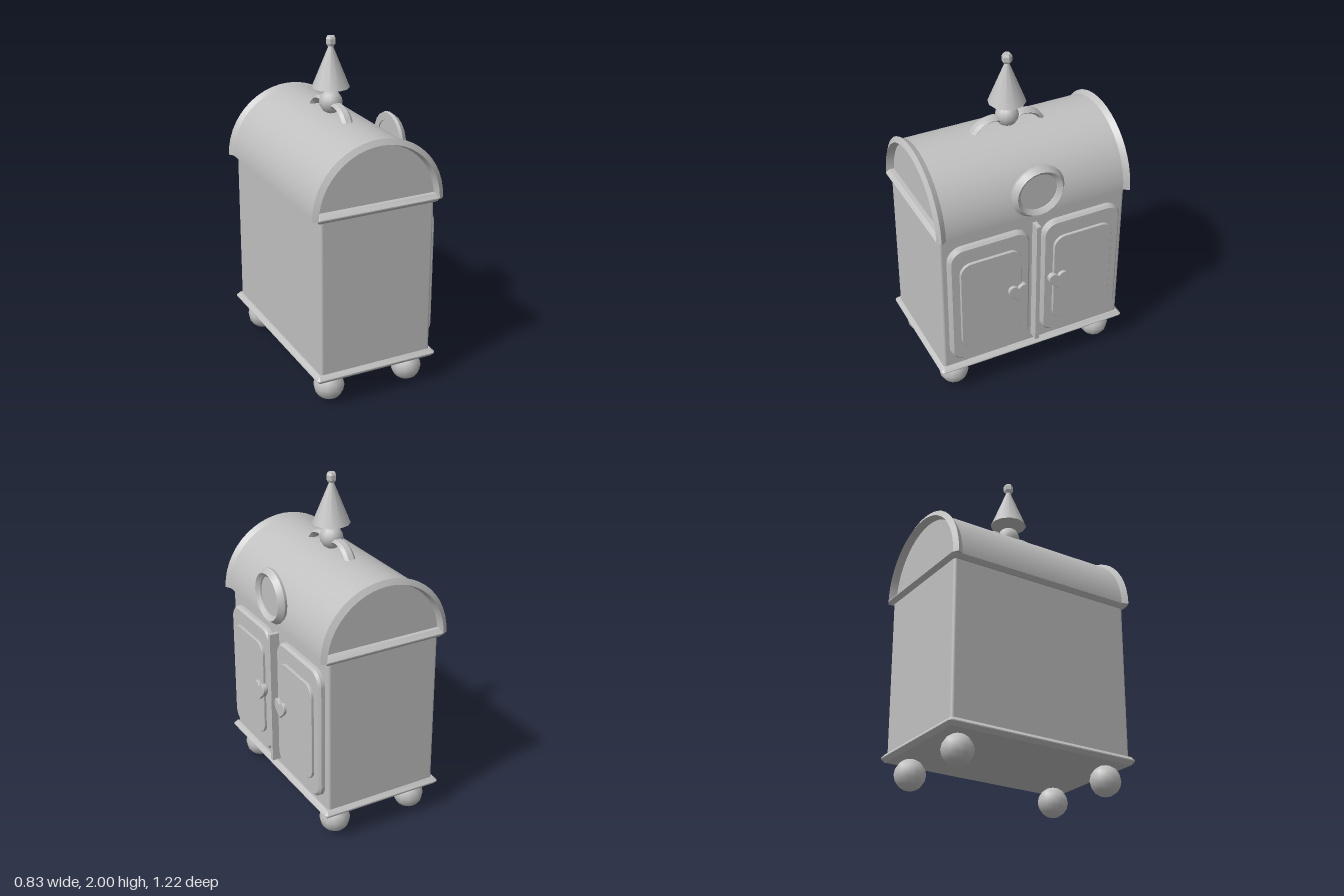
import * as THREE from 'three';
import { toCreasedNormals } from 'three/addons/utils/BufferGeometryUtils.js';
import { RoundedBoxGeometry } from 'three/addons/geometries/RoundedBoxGeometry.js';

const CX = -0.012; // middle of the cabinet in x
const ROOF_Y = 1.17; // springing line of the vaulted roof

function roundedRect(w, h, r) {
  const x = w / 2, y = h / 2, s = new THREE.Shape();
  s.moveTo(-x + r, -y).lineTo(x - r, -y).absarc(x - r, -y + r, r, -Math.PI / 2, 0);
  s.lineTo(x, y - r).absarc(x - r, y - r, r, 0, Math.PI / 2);
  s.lineTo(-x + r, y).absarc(-x + r, y - r, r, Math.PI / 2, Math.PI);
  s.lineTo(-x, -y + r).absarc(-x + r, -y + r, r, Math.PI, Math.PI * 1.5);
  return s;
}

// Plate of the given total thickness, bevelled inward, starting at z = 0
function plate(shape, thickness, bevel) {
  const g = new THREE.ExtrudeGeometry(shape, {
    depth: thickness - 2 * bevel, bevelEnabled: true, bevelThickness: bevel,
    bevelSize: bevel, bevelOffset: -bevel, bevelSegments: 1, curveSegments: 6,
  });
  return toCreasedNormals(g.translate(0, 0, bevel), 0.5);
}

function heart(s) {
  const h = new THREE.Shape();
  h.moveTo(0, 0.035 * s);
  h.bezierCurveTo(0.02 * s, 0.065 * s, 0.062 * s, 0.06 * s, 0.062 * s, 0.02 * s);
  h.bezierCurveTo(0.06 * s, -0.015 * s, 0.02 * s, -0.035 * s, 0, -0.058 * s);
  h.bezierCurveTo(-0.02 * s, -0.035 * s, -0.06 * s, -0.015 * s, -0.062 * s, 0.02 * s);
  h.bezierCurveTo(-0.062 * s, 0.06 * s, -0.02 * s, 0.065 * s, 0, 0.035 * s);
  return h;
}

export function createModel() {
  const model = new THREE.Group();
  const grey = new THREE.MeshStandardMaterial({ color: 0xc0c0c0 });
  grey.name = 'plain grey';
  const openGrey = grey.clone(); // same grey for open surfaces
  openGrey.side = THREE.DoubleSide;
  const add = (name, geometry, x, y, z, material = grey) => {
    const mesh = new THREE.Mesh(geometry, material);
    mesh.name = name;
    mesh.position.set(x, y, z);
    model.add(mesh);
    return mesh;
  };

  // Cabinet body with bevelled trims above and below
  add('body', new RoundedBoxGeometry(0.705, 0.98, 1.17, 2, 0.018), CX, 0.69, 0);
  for (const [name, y] of [['baseTrim', 0.172], ['upperTrim', 1.15]]) {
    const g = plate(roundedRect(0.765, 1.22, 0.02), 0.05, 0.022).rotateX(-Math.PI / 2);
    add(name, g, CX, y, 0);
  }

  // Ball feet
  for (const sx of [-1, 1]) for (const sz of [-1, 1])
    add('foot', new THREE.SphereGeometry(0.09, 12, 8), CX + sx * 0.254, 0.09, sz * 0.485);

  // Vaulted roof
  const roof = new THREE.CylinderGeometry(0.385, 0.385, 1.14, 24, 1, true, -Math.PI / 2, Math.PI);
  add('roof', roof.rotateX(-Math.PI / 2), CX, ROOF_Y, 0, openGrey);

  // Gable panels and arched rims at both ends
  for (const s of [-1, 1]) {
    const gable = new THREE.CircleGeometry(0.372, 24, 0, Math.PI);
    add('gable', gable, CX, ROOF_Y, s * 0.562, openGrey);
    const section = [[0.36, 0.558], [0.373, 0.608], [0.405, 0.59], [0.385, 0.556], [0.36, 0.558]]
      .map(([r, z]) => new THREE.Vector2(r, -s * z));
    const rim = new THREE.LatheGeometry(section, 24, -Math.PI / 2, Math.PI).rotateX(-Math.PI / 2);
    add('gableRim', toCreasedNormals(rim, 0.5), CX, ROOF_Y, 0, openGrey);
    for (const sx of [-1, 1]) {
      const cap = new THREE.ShapeGeometry(new THREE.Shape(section)).rotateX(-Math.PI / 2);
      add('rimEnd', cap, CX, ROOF_Y, 0, openGrey).scale.x = sx;
    }
  }

  // Pair of doors, each with a raised panel and a heart knob
  for (const s of [-1, 1]) {
    const onSide = (name, shape, y, z, x0, x1, bevel) =>
      add(name, plate(shape, x1 - x0, bevel).rotateY(Math.PI / 2), x0, y, s * z);
    onSide('door', roundedRect(0.505, 0.815, 0.09), 0.678, 0.293, 0.325, 0.377, 0.014);
    onSide('doorPanel', roundedRect(0.38, 0.61, 0.07), 0.675, 0.295, 0.36, 0.393, 0.003);
    onSide('heartKnob', heart(1), 0.675, 0.13, 0.38, 0.411, 0.003);
  }
  add('doorDivider', new THREE.BoxGeometry(0.07, 0.84, 0.026), 0.365, 0.68, 0);

  // Round window
  const ring = [[0.115, 0.36], [0.16, 0.36], [0.165, 0.377], [0.14, 0.41], [0.115, 0.39], [0.115, 0.36]]
    .map(([r, x]) => new THREE.Vector2(r, x));
  const frame = new THREE.LatheGeometry(ring, 20).rotateZ(-Math.PI / 2);
  add('windowFrame', toCreasedNormals(frame, 0.5), 0, 1.335, 0, openGrey);
  const pane = new THREE.CylinderGeometry(0.118, 0.118, 0.015, 20).rotateZ(-Math.PI / 2);
  add('windowPane', pane, 0.375, 1.335, 0);

  // Curved brackets running down the roof ridge from the finial
  for (const s of [-1, 1]) {
    const path = new THREE.CatmullRomCurve3([[1.585, 0.03], [1.612, 0.07], [1.612, 0.12], [1.59, 0.175], [1.545, 0.215]]
      .map(([y, z]) => new THREE.Vector3(0, y, s * z)));
    const bracket = new THREE.TubeGeometry(path, 10, 0.017, 6).scale(2, 1, 1);
    add('ridgeBracket', toCreasedNormals(bracket, 0.6), CX, 0, 0, openGrey);
  }

  // Finial: ball, cone and small hexagonal tip
  add('finialBall', new THREE.SphereGeometry(0.068, 12, 8), CX, 1.618, 0);
  add('finialCone', new THREE.CylinderGeometry(0.008, 0.109, 0.25, 12), CX, 1.83, 0);
  const tip = [[0, 1.944], [0.022, 1.944], [0.03, 1.958], [0.03, 1.986], [0.022, 2], [0, 2]]
    .map(([r, y]) => new THREE.Vector2(r, y));
  add('finialTip', toCreasedNormals(new THREE.LatheGeometry(tip, 6, Math.PI / 6), 0.4), CX, 0, 0);

  return model;
}
